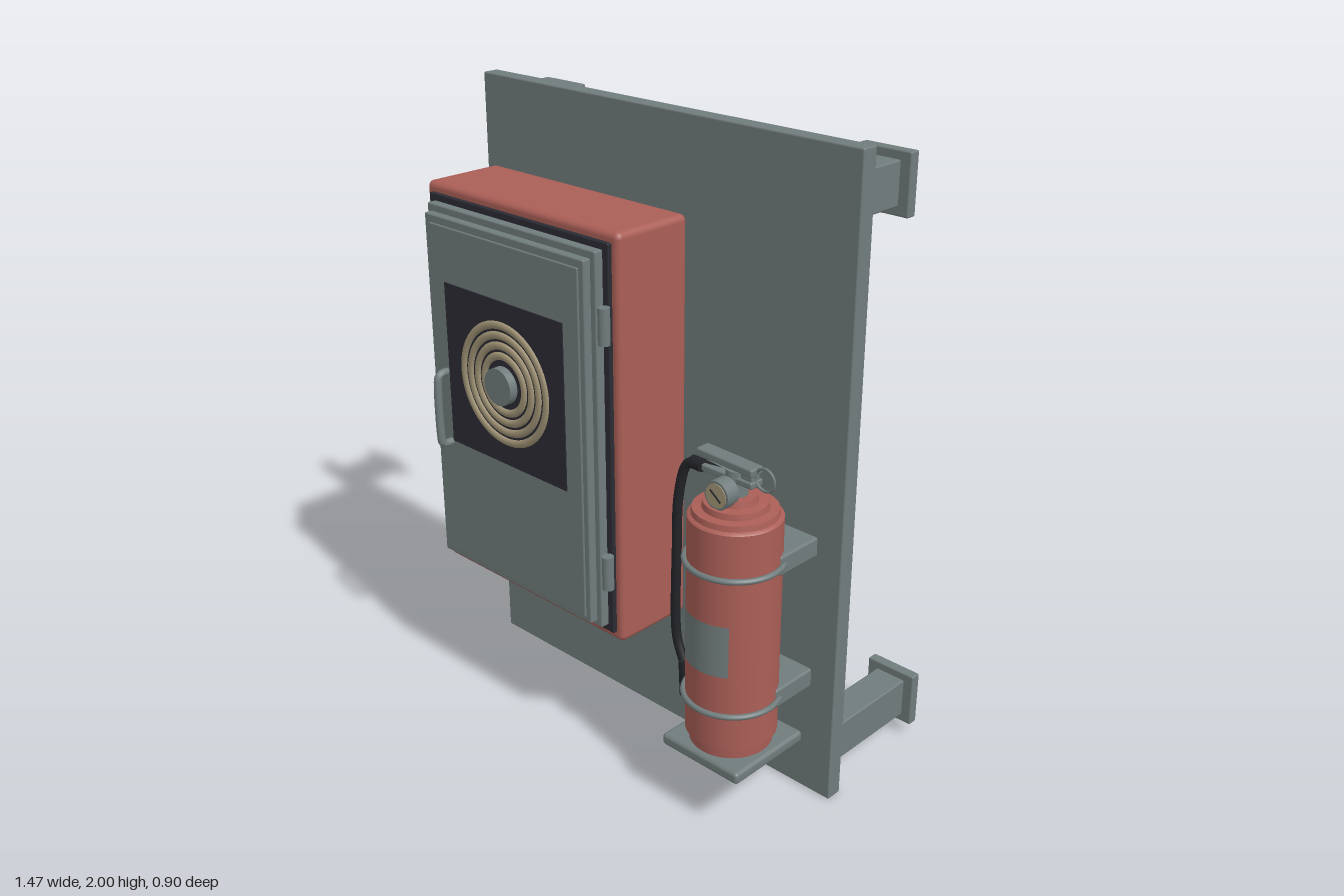
import * as THREE from 'three';
import { RoundedBoxGeometry } from 'three/addons/geometries/RoundedBoxGeometry.js';
import { toCreasedNormals } from 'three/addons/utils/BufferGeometryUtils.js';

const mat = (name, color, side = THREE.FrontSide) => {
  const m = new THREE.MeshStandardMaterial({ color, side });
  m.name = name;
  return m;
};

export function createModel() {
  const root = new THREE.Group();
  root.name = 'fireStation';
  const grey = mat('steelGrey', 0x717c7c, THREE.DoubleSide);
  const red = mat('safetyRed', 0xab5f57);
  const dark = mat('darkGasket', 0x2b2b34);
  const black = mat('blackRubber', 0x222327);
  const beige = mat('canvasBeige', 0xa39678);

  const add = (name, geo, material, x = 0, y = 0, z = 0, parent = root) => {
    const m = new THREE.Mesh(geo, material);
    m.name = name;
    m.position.set(x, y, z);
    parent.add(m);
    return m;
  };
  // box given by its minimum and maximum corners
  const box = (name, material, a, b, r = 0.005, parent = root) => {
    const s = a.map((v, i) => b[i] - v), c = a.map((v, i) => (v + b[i]) / 2);
    return add(name, new RoundedBoxGeometry(...s, 2, r), material, ...c, parent);
  };
  const tube = (name, points, r, material, parent = root, n = 60) => {
    const path = new THREE.CatmullRomCurve3(points.map(p => new THREE.Vector3(...p)), false, 'centripetal');
    return add(name, new THREE.TubeGeometry(path, n, r, 12), material, 0, 0, 0, parent);
  };

  // back board and its four stand-off posts
  box('backBoard', grey, [-0.735, 0, -0.012], [0.735, 2, 0.043]);
  for (const x of [-0.637, 0.637]) {
    for (const [name, y, end] of [['upperPost', 1.86, -0.237], ['lowerPost', 0.135, -0.445]]) {
      box(name, grey, [x - 0.053, y - 0.064, end], [x + 0.053, y + 0.064, -0.01]);
      box(name + 'Flange', grey, [x - 0.087, y - 0.09, end + 0.02], [x + 0.087, y + 0.09, end + 0.055]);
    }
  }

  // cabinet and stepped door
  const cabinet = new THREE.Group();
  cabinet.name = 'hoseCabinet';
  root.add(cabinet);
  box('cabinetBody', red, [-0.695, 0.42, 0.043], [0.138, 1.716, 0.322], 0.02, cabinet);
  box('doorGasket', dark, [-0.665, 0.452, 0.3], [0.112, 1.686, 0.336], 0.004, cabinet);
  box('doorFrame', grey, [-0.642, 0.475, 0.32], [0.09, 1.665, 0.364], 0.005, cabinet);
  box('doorPanel', grey, [-0.625, 0.492, 0.34], [0.07, 1.642, 0.39], 0.005, cabinet);
  box('doorInset', grey, [-0.602, 0.508, 0.36], [0.05, 1.617, 0.395], 0.004, cabinet);
  box('doorWindow', dark, [-0.54, 0.915, 0.39], [-0.014, 1.442, 0.398], 0.001, cabinet);

  // coiled hose behind the window
  for (const r of [0.186, 0.154, 0.122, 0.09]) {
    const ring = add('hoseCoil', new THREE.TorusGeometry(r, 0.0125, 10, 72), beige, -0.277, 1.18, 0.398, cabinet);
    ring.scale.z = 0.6;
  }
  const hub = add('reelHub', new THREE.CylinderGeometry(0.059, 0.059, 0.032, 32), grey, -0.277, 1.18, 0.41, cabinet);
  hub.rotation.x = Math.PI / 2;

  // hinges and pull handle
  for (const y of [0.675, 1.455]) {
    add('hinge', new THREE.CylinderGeometry(0.018, 0.018, 0.11, 20), grey, 0.114, y, 0.357, cabinet);
  }
  tube('doorHandle', [[-0.553, 0.908, 0.385], [-0.553, 0.908, 0.42], [-0.553, 0.915, 0.432], [-0.553, 0.94, 0.436],
    [-0.553, 1.11, 0.436], [-0.553, 1.135, 0.432], [-0.553, 1.145, 0.42], [-0.553, 1.145, 0.385]], 0.013, grey, cabinet);

  // extinguisher shelf and brackets
  const X = 0.514, Z = 0.247;
  box('shelf', grey, [0.367, 0.203, 0.09], [0.662, 0.241, 0.39], 0.012);
  for (const [y, ring] of [[0.398, 0.396], [0.838, 0.838]]) {
    box('wallBracket', grey, [0.382, y - 0.031, 0.035], [0.647, y + 0.031, 0.205], 0.008);
    const strap = add('strap', new THREE.TorusGeometry(0.143, 0.009, 10, 56), grey, X, ring, Z);
    strap.rotation.x = Math.PI / 2;
  }

  // extinguisher bottle
  const ext = new THREE.Group();
  ext.name = 'extinguisher';
  ext.position.set(X, 0, Z);
  root.add(ext);
  const profile = [[0, 0.241], [0.124, 0.241], [0.126, 0.275], [0.137, 0.278], [0.137, 0.975], [0.132, 0.98],
    [0.126, 0.982], [0.123, 0.999], [0.096, 1.001], [0.093, 1.019], [0.064, 1.021], [0.06, 1.04], [0, 1.04]];
  const lathe = new THREE.LatheGeometry(profile.map(p => new THREE.Vector2(...p)), 40);
  add('bottle', toCreasedNormals(lathe, 0.6), red, 0, 0, 0, ext);
  add('bottleLabel', new THREE.CylinderGeometry(0.1405, 0.1405, 0.165, 20, 1, true, -0.63, 1.26), grey, 0, 0.607, 0, ext);

  // valve, levers and pin ring
  add('valve', new THREE.CylinderGeometry(0.03, 0.036, 0.09, 24), grey, 0, 1.07, 0, ext);
  box('lowerLever', grey, [-0.11, 1.08, -0.025], [0.075, 1.1, 0.025], 0.005, ext);
  box('leverPivot', grey, [0.03, 1.09, -0.018], [0.07, 1.125, 0.018], 0.004, ext);
  const lever = box('upperLever', grey, [-0.13, 1.118, -0.025], [0.075, 1.142, 0.025], 0.006, ext);
  lever.rotation.z = -0.03;
  add('pinRing', new THREE.TorusGeometry(0.033, 0.0045, 8, 32), grey, 0.102, 1.112, 0, ext);
  const pin = add('pin', new THREE.CylinderGeometry(0.005, 0.005, 0.08, 8), grey, 0.035, 1.112, 0, ext);
  pin.rotation.z = Math.PI / 2;

  // pressure gauge facing forward
  const disc = (name, r, depth, z, material) => {
    const d = add(name, new THREE.CylinderGeometry(r, r, depth, 32), material, 0, 1.06, z, ext);
    d.rotation.x = Math.PI / 2;
  };
  disc('gaugeStem', 0.018, 0.06, 0.03, grey);
  disc('gaugeCase', 0.043, 0.046, 0.06, grey);
  disc('gaugeFace', 0.036, 0.003, 0.084, beige);
  const needle = box('gaugeNeedle', black, [-0.024, 1.057, 0.085], [0.024, 1.063, 0.088], 0.001, ext);
  needle.rotation.z = -0.65;

  // discharge hose and nozzle
  tube('dischargeHose', [[-0.03, 1.085, 0], [-0.155, 1.085, 0.006], [-0.178, 1.07, 0.01], [-0.198, 0.97, 0.02],
    [-0.2, 0.8, 0.025], [-0.2, 0.56, 0.028], [-0.192, 0.5, 0.029], [-0.165, 0.43, 0.03]], 0.0145, black, ext, 90);
  add('hoseCollar', new THREE.CylinderGeometry(0.02, 0.02, 0.04, 16), black, -0.14, 1.085, 0.005, ext).rotation.z = Math.PI / 2;
  const nozzle = add('nozzle', new THREE.CylinderGeometry(0.021, 0.029, 0.11, 20), black, -0.15, 0.387, 0.03, ext);
  nozzle.rotation.z = 0.15;

  return root;
}
